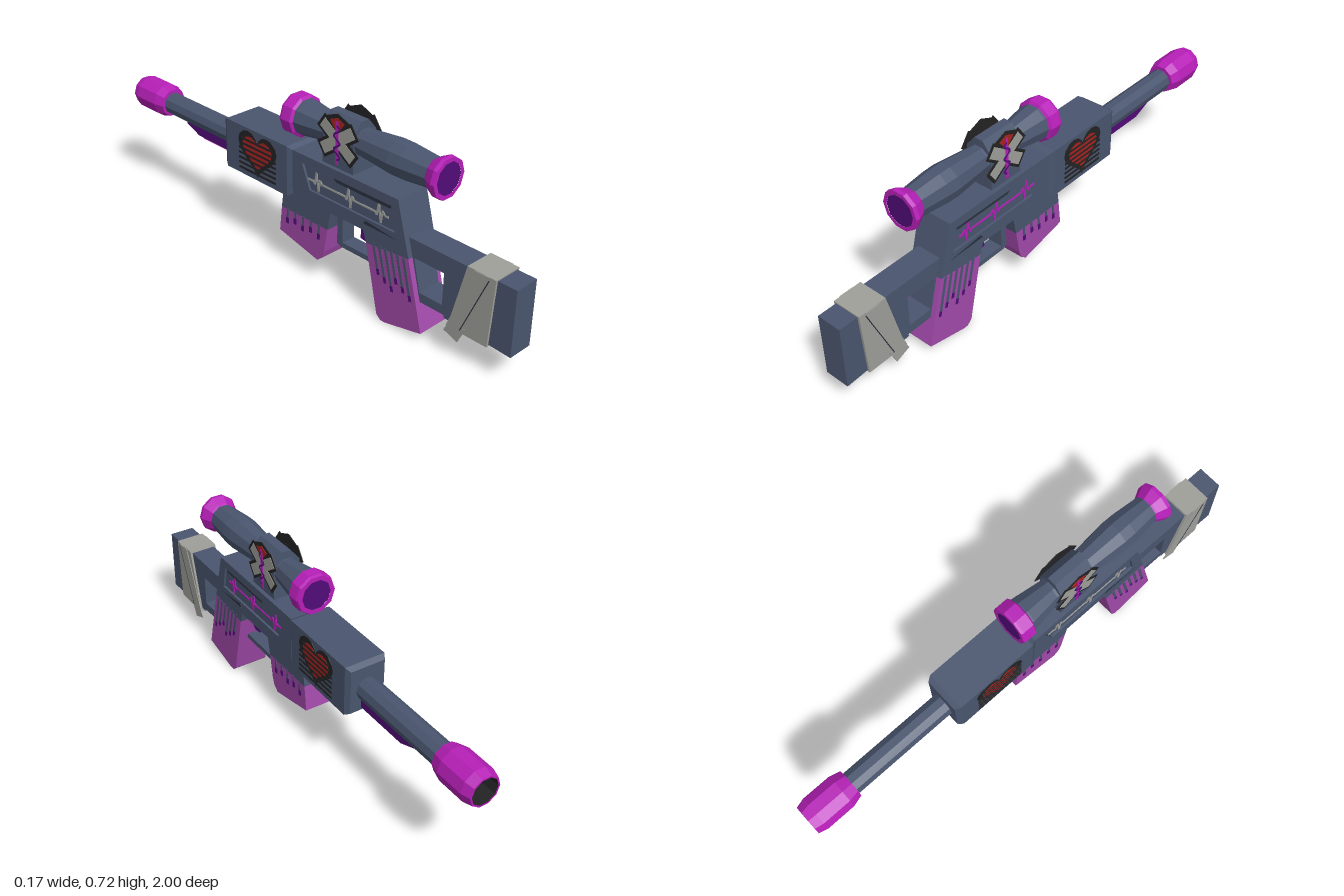
import * as THREE from 'three';
import { mergeGeometries } from 'three/addons/utils/BufferGeometryUtils.js';

const mat = (name, color, side = THREE.FrontSide) => {
  const m = new THREE.MeshStandardMaterial({ color, side });
  m.name = name;
  return m;
};

export function createModel() {
  const root = new THREE.Group();
  root.name = 'toyRifle';
  const slate = mat('slate', 0x4a566f);
  const darkSlate = mat('dark slate', 0x2a3140);
  const magenta = mat('magenta', 0xb71fb8);
  const purple = mat('grip purple', 0xa24aaa);
  const violet = mat('dark violet', 0x520c78);
  const grey = mat('bandage grey', 0x9f9f9a);
  const black = mat('black', 0x232325, THREE.DoubleSide);
  const red = mat('red', 0xa8221f);

  const add = (name, geo, material) => {
    const g = geo.index ? geo.toNonIndexed() : geo;
    g.computeVertexNormals();
    const m = new THREE.Mesh(g, material);
    m.name = name;
    root.add(m);
    return m;
  };
  const toPath = (pts, Type = THREE.Shape) => new Type(pts.map(p => new THREE.Vector2(p[0], p[1])));

  // side outline in (z, y), extruded across x around the centre cx
  const slab = (pts, width, cx = 0, holes = []) => {
    const s = toPath(pts);
    s.holes = holes.map(h => toPath(h, THREE.Path));
    const g = new THREE.ExtrudeGeometry(s, { depth: width, bevelEnabled: false });
    return g.translate(0, 0, -width / 2).rotateY(-Math.PI / 2).translate(cx, 0, 0);
  };
  // thin line of boxes along (z, y) points at x
  const ribbon = (pts, thick, x, depth = 0.003) => mergeGeometries(pts.slice(1).map((b, i) => {
    const a = pts[i], dz = b[0] - a[0], dy = b[1] - a[1];
    return new THREE.BoxGeometry(depth, thick, Math.hypot(dz, dy))
      .rotateX(-Math.atan2(dy, dz)).translate(x, (a[1] + b[1]) / 2, (a[0] + b[0]) / 2);
  }));
  // turned part along z from [z, radius] points in ascending z
  const turned = (pts, sides, y) => new THREE.LatheGeometry(
    pts.map(([z, r]) => new THREE.Vector2(r, z)), sides, Math.PI / 2).rotateX(Math.PI / 2).translate(0, y, 0);
  const both = fn => [1, -1].forEach(s => fn(s, s > 0 ? 'left' : 'right'));

  // stock with an open window
  add('stock', slab([[1, 0.375], [0.5, 0.375], [0.56, 0.145], [0.72, 0.145], [0.72, 0.135], [1, 0.12]], 0.1, 0,
    [[[0.71, 0.305], [0.58, 0.305], [0.61, 0.18], [0.71, 0.18]]]), slate);

  // bandage wound round the stock
  add('bandage', slab([[0.925, 0.38], [0.81, 0.383], [0.745, 0.118], [0.91, 0.118]], 0.118), grey);
  both((s, n) => {
    add(n + 'BandageWrap', slab([[0.9, 0.38], [0.84, 0.38], [0.74, 0.12], [0.8, 0.12]], 0.004, s * 0.06), grey);
    add(n + 'BandageTail', slab([[0.82, 0.14], [0.755, 0.14], [0.73, 0.098], [0.79, 0.075]], 0.004, s * 0.058), grey);
    add(n + 'BandageFold', ribbon([[0.9, 0.37], [0.8, 0.13]], 0.003, s * 0.0625, 0.002), darkSlate);
  });

  // main body: core with recessed side panels
  const bodyOutline = [[0.515, 0.51], [0, 0.51], [0, 0.33], [0.36, 0.33], [0.375, 0.285], [0.572, 0.305]];
  add('body', slab(bodyOutline, 0.124), slate);
  const panel = [[0.485, 0.475], [0.05, 0.475], [0.09, 0.38], [0.505, 0.38]];
  const beats = [[0.47, 0.42]];
  for (const c of [0.43, 0.285, 0.125]) {
    beats.push([c + 0.022, 0.42], [c + 0.012, 0.435], [c + 0.004, 0.385], [c - 0.006, 0.458], [c - 0.015, 0.41], [c - 0.022, 0.42]);
  }
  beats.push([0.075, 0.42]);
  both((s, n) => {
    add(n + 'BodyShell', slab(bodyOutline, 0.01, s * 0.066, [panel]), slate);
    add(n + 'PanelTopEdge', slab([[0.485, 0.474], [0.2, 0.474], [0.22, 0.458], [0.475, 0.458]], 0.004, s * 0.063), darkSlate);
    add(n + 'BodyCrease', slab([[0.52, 0.355], [0.37, 0.37], [0.36, 0.357]], 0.002, s * 0.0712), darkSlate);
    add(n + 'PulseLine', ribbon(beats, 0.007, s * 0.064), s > 0 ? magenta : grey);
  });

  // pistol grip with dripping paint
  add('grip', slab([[0.572, 0.305], [0.375, 0.285], [0.435, 0.018], [0.455, 0], [0.475, 0], [0.642, 0.037]], 0.142), purple);
  both((s, n) => {
    for (let i = 0; i < 6; i++) {
      const z = 0.55 - i * 0.028, low = 0.165 + (i % 3) * 0.02;
      const at = y => z + (0.3 - y) * 0.25;
      add(n + 'GripStripe', ribbon([[z, 0.3], [at(low), low]], 0.011, s * 0.0712), slate);
      add(n + 'GripDrop', ribbon([[at(low), low], [at(low - 0.022), low - 0.022]], 0.012, s * 0.0713), violet);
    }
  });

  // trigger and guard
  add('trigger', slab([[0.375, 0.34], [0.31, 0.34], [0.305, 0.255], [0.34, 0.25], [0.375, 0.28]], 0.05), violet);
  add('triggerGuard', slab([[0.42, 0.2], [0.22, 0.2], [0.22, 0.335], [0.193, 0.335], [0.193, 0.188], [0.21, 0.18], [0.42, 0.18]], 0.06), slate);

  // magazine
  add('magazineTop', slab([[0.19, 0.34], [0.172, 0.245], [-0.073, 0.245], [-0.06, 0.34]], 0.12), slate);
  add('magazine', slab([[0.172, 0.245], [0.155, 0.145], [0.145, 0.115], [0.12, 0.095], [-0.085, 0.14], [-0.073, 0.245]], 0.12), purple);
  both((s, n) => {
    for (let i = 0; i < 5; i++) {
      const z = 0.13 - i * 0.042, low = 0.2 + (i % 2) * 0.012;
      add(n + 'MagazineStripe', ribbon([[z, 0.25], [z - 0.003, low]], 0.009, s * 0.0605), slate);
      add(n + 'MagazineDrop', ribbon([[z - 0.003, low + 0.01], [z - 0.004, low - 0.014]], 0.013, s * 0.061), violet);
    }
  });

  // receiver with chamfered ends
  const rect = toPath([[-0.07, 0.33], [0.07, 0.33], [0.07, 0.508], [-0.07, 0.508]]);
  add('receiver', new THREE.ExtrudeGeometry(rect, {
    depth: 0.34, bevelThickness: 0.02, bevelSize: 0.012, bevelSegments: 1
  }).translate(0, 0, -0.36), slate);

  // striped heart on each side of the receiver
  const heart = (w, h, cy) => Array.from({ length: 28 }, (_, i) => {
    const t = i / 28 * Math.PI * 2;
    const y = 13 * Math.cos(t) - 5 * Math.cos(2 * t) - 2 * Math.cos(3 * t) - Math.cos(4 * t);
    return [-0.182 + w / 2 * Math.sin(t) ** 3, cy + h * (y + 2.5) / 29];
  });
  both((s, n) => {
    add(n + 'HeartOutline', slab(heart(0.215, 0.18, 0.42), 0.003, s * 0.0825), black);
    add(n + 'Heart', slab(heart(0.165, 0.135, 0.422), 0.003, s * 0.0835), red);
    for (let i = 0; i < 7; i++) {
      const y = 0.345 + i * 0.021, half = i < 5 ? 0.104 : 0.085;
      add(n + 'HeartStripe', ribbon([[-0.182 - half, y], [-0.182 + half, y]], 0.008, s * 0.0845), black);
    }
  });

  // barrel, muzzle and rail below
  add('barrel', turned([[-0.83, 0.046], [-0.36, 0.046]], 10, 0.415), slate);
  add('muzzle', turned([[-1, 0.053], [-1, 0.06], [-0.965, 0.07], [-0.85, 0.07], [-0.808, 0.058], [-0.808, 0.04]], 10, 0.418), magenta);
  add('muzzleBore', turned([[-1, 0.053], [-0.9, 0.05], [-0.899, 0]], 10, 0.418), black);
  add('barrelRail', slab([[-0.37, 0.385], [-0.37, 0.342], [-0.61, 0.342], [-0.685, 0.372], [-0.685, 0.385]], 0.05), violet);
  add('railStrip', slab([[-0.37, 0.345], [-0.37, 0.333], [-0.59, 0.333], [-0.61, 0.345]], 0.035), magenta);

  // scope
  const scopeY = 0.62;
  add('scopeTube', turned([[-0.02, 0.072], [0.01, 0.07], [0.13, 0.053], [0.3, 0.053], [0.45, 0.067], [0.5, 0.066], [0.62, 0.055]], 10, scopeY), slate);
  add('rearScopeRing', turned([[0.605, 0.054], [0.615, 0.06], [0.65, 0.078], [0.665, 0.076], [0.665, 0.06], [0.645, 0.058]].slice(0, 5), 10, scopeY), magenta);
  add('frontScopeRing', turned([[-0.06, 0.06], [-0.06, 0.078], [-0.05, 0.082], [-0.005, 0.082], [0.002, 0.07]], 10, scopeY), magenta);
  add('rearLens', turned([[0.64, 0.059], [0.664, 0.0605], [0.6641, 0]], 10, scopeY), violet);
  add('frontLens', turned([[-0.059, 0], [-0.0589, 0.0605], [-0.04, 0.059]], 10, scopeY), violet);
  const mount = toPath([[-0.055, 0.5], [0.055, 0.5], [0.055, 0.655], [0.018, 0.7], [-0.018, 0.7], [-0.055, 0.655]]);
  add('scopeMount', new THREE.ExtrudeGeometry(mount, { depth: 0.15, bevelEnabled: false }).translate(0, 0, 0.14), slate);

  // six-armed medic star on each side of the mount
  const cz = 0.215, cy = 0.617;
  const bar = (deg, r) => {
    const a = deg * Math.PI / 180, u = Math.cos(a) * r, v = Math.sin(a) * r;
    return [[cz - u, cy - v], [cz + u, cy + v]];
  };
  both((s, n) => {
    for (const deg of [35, -35]) {
      add(n + 'StarBorder', ribbon(bar(deg, 0.1), 0.066, s * 0.0565), black);
      add(n + 'StarArm', ribbon(bar(deg, 0.089), 0.044, s * 0.058), grey);
    }
    add(n + 'StarTop', slab([[0.272, 0.695], [0.215, 0.718], [0.158, 0.695], [0.17, 0.64], [0.26, 0.64]], 0.003, s * 0.0568), black);
    add(n + 'StarTopInset', slab([[0.25, 0.688], [0.215, 0.703], [0.18, 0.688], [0.215, 0.645]], 0.003, s * 0.0592), red);
    add(n + 'Staff', ribbon([[cz, 0.69], [cz, 0.525]], 0.012, s * 0.0605), magenta);
    const coil = Array.from({ length: 13 }, (_, i) => [cz + Math.sin(i * 1.3) * 0.016, 0.675 - i * 0.011]);
    add(n + 'Coil', ribbon(coil, 0.007, s * 0.0612), violet);
  });

  return root;
}
